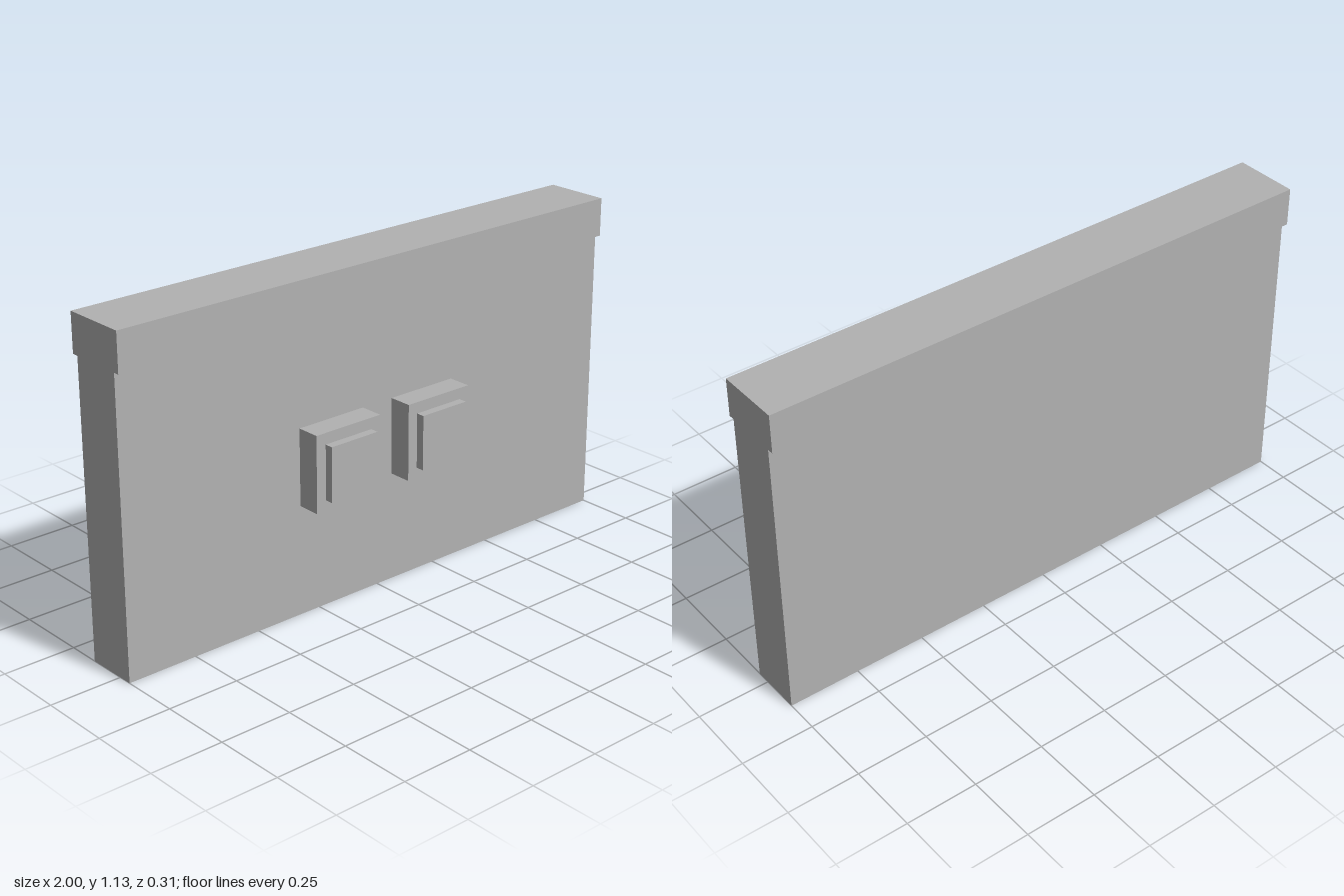
import * as THREE from 'three';

export function createModel() {
  const model = new THREE.Group();
  model.name = 'wallWithSwitches';
  const grey = new THREE.MeshStandardMaterial({ color: 0xb2b2b2 });
  grey.name = 'grey';

  // Box given by its [min, max] range on each axis
  const box = (name, [x0, x1], [y0, y1], [z0, z1], parent = model) => {
    const mesh = new THREE.Mesh(new THREE.BoxGeometry(x1 - x0, y1 - y0, z1 - z0), grey);
    mesh.position.set((x0 + x1) / 2, (y0 + y1) / 2, (z0 + z1) / 2);
    mesh.name = name;
    parent.add(mesh);
  };

  // Wall slab and the overhanging cap on top
  box('wall', [-1, 1], [0, 1], [-0.135, 0.048]);
  box('cap', [-1, 1], [1, 1.132], [-0.157, 0.069]);

  // Pair of square switches: a base block with a smaller raised button
  for (const [name, x] of [['rightSwitch', -0.193], ['leftSwitch', 0.192]]) {
    const unit = new THREE.Group();
    unit.name = name;
    unit.position.x = x;
    box('switchBase', [-0.131, 0.131], [0.38, 0.644], [0.048, 0.129], unit);
    box('switchButton', [-0.094, 0.094], [0.416, 0.605], [0.129, 0.158], unit);
    model.add(unit);
  }
  return model;
}
